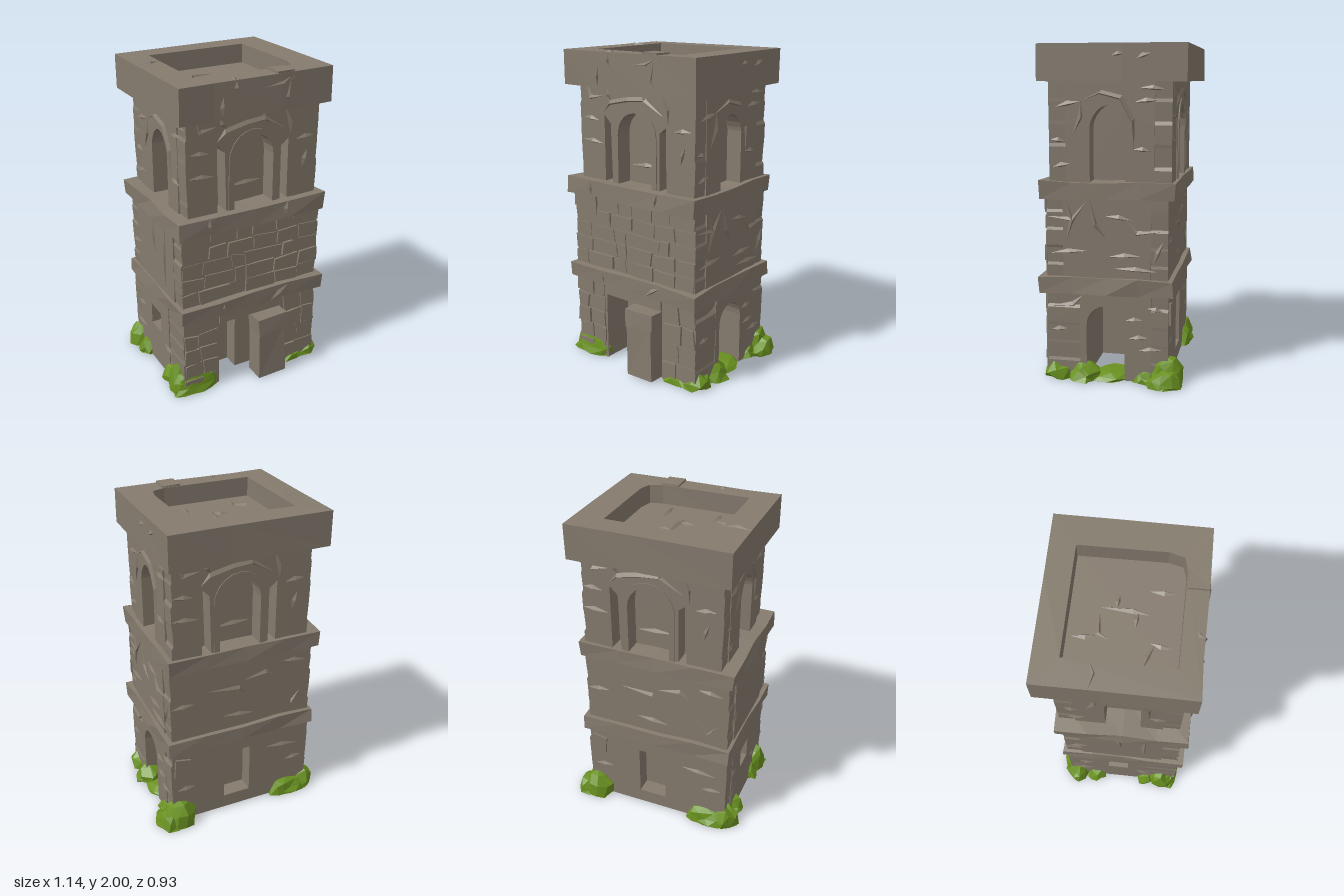
import * as THREE from 'three';

const stone = new THREE.MeshStandardMaterial({ color: 0x857b6e, flatShading: true });
stone.name = 'stone';
const moss = new THREE.MeshStandardMaterial({ color: 0x6a9220, flatShading: true });
moss.name = 'moss';

let seed = 11;
const rnd = () => ((seed = (seed * 16807) % 2147483647) / 2147483647);
const hash = (x, y, z) => {
  const s = Math.sin(Math.round(x * 999) * 12.99 + Math.round(y * 999) * 78.23 + Math.round(z * 999) * 37.72) * 43758.55;
  return s - Math.floor(s) - 0.5;
};

const add = (parent, geo, mat, name) => {
  const m = new THREE.Mesh(geo, mat);
  m.name = name;
  parent.add(m);
  return m;
};

// Shift every vertex by an amount that depends only on its position, so seams stay closed
function roughen(geo, amt, flatten = false) {
  const p = geo.attributes.position;
  for (let i = 0; i < p.count; i++) {
    const [x, y, z] = [p.getX(i), p.getY(i), p.getZ(i)];
    const ny = y + hash(y, z, x) * amt;
    p.setXYZ(i, x + hash(x, y, z) * amt, flatten ? Math.max(ny, 0) : ny, z + hash(z, x, y) * amt);
  }
  geo.computeVertexNormals();
  return geo;
}

// Box given by its limits
function block(parent, name, [x0, x1], [y0, y1], [z0, z1], amt = 0, seg = 1) {
  const g = new THREE.BoxGeometry(x1 - x0, y1 - y0, z1 - z0, seg, 1, seg);
  g.translate((x0 + x1) / 2, (y0 + y1) / 2, (z0 + z1) / 2);
  return add(parent, roughen(g, amt), stone, name);
}

const toShape = pts => new THREE.Shape(pts.map(([x, y]) => new THREE.Vector2(x, y)));
const rect = (u0, u1, y0, y1) => [[u0, y0], [u1, y0], [u1, y1], [u0, y1]];

// Arched opening; a power above 1 makes the head pointed
function arch(u0, u1, y0, spring, top, power = 1) {
  const pts = [[u0, y0], [u1, y0]], c = (u0 + u1) / 2, r = (u1 - u0) / 2;
  for (let i = 0; i <= 10; i++) {
    const a = (i / 10) * Math.PI;
    pts.push([c + r * Math.cos(a), spring + (top - spring) * Math.sin(a) ** power]);
  }
  return pts;
}

function plate(face, name, pts, holes, z, depth) {
  const s = toShape(pts);
  s.holes = holes.map(toShape);
  const g = new THREE.ExtrudeGeometry(s, { depth, bevelEnabled: false });
  g.translate(0, 0, z);
  return add(face, g, stone, name);
}

// Wall outline with chipped vertical edges and an optional doorway cut into the foot
function chippedOutline(u0, u1, y0, y1, door, chip) {
  const n = 5, pts = [[u0, y0]];
  if (door) pts.push(door[0], ...door.slice(1).reverse());
  const side = (u, sign, i) => {
    const d = rnd() * chip * sign, y = y0 + ((y1 - y0) * i) / n, h = (y1 - y0) / n;
    return [[u - d, y + h * 0.08], [u - d * 0.5, y + h * 0.92]];
  };
  pts.push([u1, y0]);
  for (let i = 0; i < n; i++) pts.push(...side(u1, 1, i));
  for (let i = n - 1; i >= 0; i--) pts.push(...side(u0, -1, i).reverse());
  return pts;
}

// Four walls with recessed openings around a solid core; returns the faces for extra detail
function storey(root, name, [x0, x1], [y0, y1], [z0, z1], openings, frontDepth = 0.1, rightDepth = 0.1) {
  const g = new THREE.Group(), d = 0.1;
  g.name = name;
  root.add(g);
  block(g, 'core', [x0 + d, x1 - rightDepth], [y0, y1], [z0 + d, z1 - frontDepth]);
  const specs = {
    front: [0, x0, x1, z1, frontDepth], right: [Math.PI / 2, frontDepth - z1, -z0 - d, x1, rightDepth],
    back: [Math.PI, -x1, -x0, -z0, d], left: [-Math.PI / 2, z0 + d, z1 - frontDepth, -x0, d],
  };
  const faces = {};
  for (const [key, [angle, u0, u1, dist, depth]] of Object.entries(specs)) {
    const f = new THREE.Group();
    f.name = key + ' face';
    f.rotation.y = angle;
    f.userData.dist = dist;
    g.add(f);
    faces[key] = f;
    const chip = key === 'front' || key === 'back' ? 0.014 : 0;
    const o = openings[key] || {};
    plate(f, key + ' wall', chippedOutline(u0, u1, y0, y1, o.door, chip), o.holes || [], dist - depth, depth);
  }
  return faces;
}

// Irregular facing stones standing proud of the wall
function masonry(f, u0, u1, y0, y1, rows, cols) {
  const z = f.userData.dist, h = (y1 - y0) / rows, j = () => 0.001 + rnd() ** 3 * 0.016;
  for (let r = 0; r < rows; r++) {
    const cuts = [u0];
    for (let c = 1; c < cols; c++) cuts.push(u0 + ((u1 - u0) * (c + (rnd() - 0.5) * 0.7)) / cols);
    cuts.push(u1);
    for (let c = 0; c < cols; c++) {
      const [a, b, lo, hi] = [cuts[c], cuts[c + 1], y0 + r * h, y0 + r * h + h];
      const pts = [[a + j(), lo + j()], [b - j(), lo + j()], [b - j(), hi - j()], [a + j(), hi - j()]];
      plate(f, 'facing stone', pts, [], z - 0.002, 0.005 + rnd() * 0.014);
    }
  }
}

// Chipped lips: each line is a crest that rises gently on one side and drops steeply on the other
function cracks(f, lines, z = f.userData.dist) {
  for (let line of lines) {
    const last = line[line.length - 1];
    if (line.length === 2) line = [line[0], [(line[0][0] + last[0]) / 2, (line[0][1] + last[1]) / 2], last];
    let [dx, dy] = [last[0] - line[0][0], last[1] - line[0][1]];
    if (dx + dy < 0) [line, dx, dy] = [[...line].reverse(), -dx, -dy];
    const len = Math.hypot(dx, dy), nx = dy / len, ny = -dx / len;
    const rows = line.map(([u, y], i) => {
      const k = i === 0 || i === line.length - 1 ? 0.1 : 1;
      return [[-0.022, 0], [0, 0.013], [0.008, 0]].map(([o, h]) => [u + nx * o * k, y + ny * o * k, z + h * k]);
    });
    const v = [];
    for (let i = 0; i + 1 < rows.length; i++) {
      for (let s = 0; s < 2; s++) {
        const [a, b, c, d] = [rows[i][s], rows[i][s + 1], rows[i + 1][s + 1], rows[i + 1][s]];
        v.push(...a, ...b, ...c, ...a, ...c, ...d);
      }
    }
    const g = new THREE.BufferGeometry();
    g.setAttribute('position', new THREE.Float32BufferAttribute(v, 3));
    g.computeVertexNormals();
    add(f, g, stone, 'chipped crack');
  }
}

// Raised band following an arch
function hood(f, u0, u1, y0, spring, top, w) {
  const outer = arch(u0 - w, u1 + w, y0, spring, top + w), inner = arch(u0, u1, y0, spring, top);
  plate(f, 'arch surround', [...outer.slice(1), outer[0], inner[0], ...inner.slice(1).reverse()], [], f.userData.dist - 0.01, 0.016);
}

export function createModel() {
  const root = new THREE.Group();
  root.name = 'ruined stone tower';

  // Ground storey, with deep doorways at the front and right
  const foot = 0.008;
  const base = storey(root, 'ground storey', [-0.5, 0.46], [foot, 0.56], [-0.37, 0.36], {
    front: { door: rect(-0.25, 0.2, foot, 0.45) },
    right: { door: arch(-0.12, 0.11, foot, 0.34, 0.46) },
    back: { holes: [rect(-0.1, 0.08, 0.1, 0.44)] },
    left: { holes: [rect(-0.1, 0.04, 0.28, 0.42)] },
  }, 0.2, 0.44);
  masonry(base.front, -0.5, -0.26, 0.01, 0.53, 5, 2);
  masonry(base.front, 0.21, 0.46, 0.01, 0.53, 4, 2);
  plate(base.front, 'lintel', rect(-0.25, 0.2, 0.455, 0.525), [], 0.358, 0.012);
  block(root, 'door jamb', [-0.08, 0.2], [foot, 0.45], [0.16, 0.26]);
  plate(base.back, 'chipped stone', [[-0.44, 0.36], [-0.34, 0.35], [-0.33, 0.47], [-0.43, 0.49]], [], 0.368, 0.016);
  cracks(base.right, [[[0.12, 0.38], [0.22, 0.385]], [[0.14, 0.27], [0.25, 0.28]], [[0.2, 0.2], [0.33, 0.21]],
    [[-0.32, 0.45], [-0.2, 0.46], [-0.14, 0.52]], [[-0.33, 0.3], [-0.24, 0.31]], [[0.25, 0.46], [0.34, 0.44]]]);
  cracks(base.back, [[[0.2, 0.4], [0.42, 0.38]], [[0.34, 0.26], [0.46, 0.27]], [[-0.42, 0.24], [-0.3, 0.25]]]);
  cracks(base.left, [[[-0.3, 0.35], [-0.2, 0.36]], [[0.1, 0.22], [0.2, 0.2]], [[-0.34, 0.2], [-0.2, 0.19]]]);

  // Leaning slab in the doorway
  block(root, 'leaning slab', [-0.01, 0.185], [foot, 0.36], [0.33, 0.45], 0.016);
  block(root, 'slab head', [-0.02, 0.2], [0.34, 0.44], [0.32, 0.46], 0.025);

  // Middle storey
  const mid = storey(root, 'middle storey', [-0.5, 0.455], [0.6, 1.13], [-0.365, 0.36], {});
  masonry(mid.front, -0.5, 0.455, 0.63, 1.1, 5, 6);
  cracks(mid.right, [[[-0.35, 0.99], [-0.2, 0.97], [-0.12, 1.08]], [[-0.24, 1.09], [-0.2, 0.97], [-0.24, 0.85]],
    [[-0.1, 1.1], [-0.06, 0.95], [0.0, 0.87]], [[0, 1.0], [0.15, 0.98]], [[0.12, 0.98], [0.18, 0.9], [0.33, 0.92]],
    [[-0.33, 0.77], [-0.12, 0.79]], [[0.02, 0.76], [0.2, 0.77]], [[0.28, 0.72], [0.34, 0.86]], [[0.05, 0.69], [0.3, 0.68]]]);
  cracks(mid.back, [[[-0.2, 0.92], [0, 0.9], [0.04, 0.86]], [[0.04, 0.95], [0.18, 0.97], [0.24, 0.93]],
    [[0.3, 0.8], [0.36, 0.7], [0.42, 0.78]], [[-0.44, 0.85], [-0.3, 0.86]], [[-0.1, 0.72], [0.1, 0.7]], [[0.3, 1.02], [0.45, 1.0]]]);
  cracks(mid.left, [[[0.14, 0.66], [0.15, 1.08]], [[-0.02, 1.08], [0, 0.85]], [[-0.34, 0.8], [-0.22, 0.82]]]);

  // Upper storey with arched windows and slots
  const bay = { holes: [arch(-0.14, 0.12, 1.17, 1.5, 1.64), [[-0.25, 1.17], [-0.19, 1.17], [-0.2, 1.56], [-0.25, 1.61]],
    [[0.175, 1.17], [0.225, 1.17], [0.225, 1.58], [0.175, 1.54]]] };
  const slit = { holes: [arch(-0.1, 0.11, 1.17, 1.52, 1.64, 1.4)] };
  const top = storey(root, 'upper storey', [-0.45, 0.435], [1.15, 1.8], [-0.38, 0.345],
    { front: bay, back: bay, right: slit, left: slit });
  for (const f of [top.front, top.back]) {
    hood(f, -0.14, 0.12, 1.18, 1.5, 1.64, 0.035);
    cracks(f, [[[-0.25, 1.63], [-0.2, 1.68], [-0.06, 1.71], [0.06, 1.72], [0.2, 1.64]], [[0.2, 1.77], [0.24, 1.68], [0.24, 1.6]],
      [[-0.43, 1.44], [-0.27, 1.43]], [[-0.42, 1.58], [-0.3, 1.57]], [[-0.38, 1.77], [-0.36, 1.7], [-0.26, 1.72]],
      [[-0.23, 1.77], [-0.19, 1.7]], [[0.28, 1.56], [0.4, 1.57]], [[0.33, 1.38], [0.36, 1.48]], [[0.05, 1.76], [0.08, 1.7]]]);
    cracks(f, [[[-0.12, 1.3], [0.1, 1.31]]], f.userData.dist - 0.1);
  }
  for (const f of [top.right, top.left]) {
    cracks(f, [[[-0.16, 1.66], [-0.04, 1.71], [0.08, 1.68], [0.15, 1.55], [0.16, 1.39]], [[0.16, 1.39], [0.26, 1.38]],
      [[-0.2, 1.47], [-0.15, 1.57], [-0.15, 1.66]], [[-0.3, 1.63], [-0.16, 1.66]], [[-0.33, 1.44], [-0.25, 1.43]],
      [[0.17, 1.66], [0.3, 1.67]], [[0.2, 1.74], [0.34, 1.73]], [[-0.32, 1.28], [-0.22, 1.3]]]);
  }

  // String courses between the storeys
  block(root, 'lower ledge', [-0.515, 0.475], [0.535, 0.63], [-0.395, 0.405], 0.016, 4);
  block(root, 'upper ledge', [-0.525, 0.465], [1.1, 1.2], [-0.4, 0.405], 0.016, 4);
  const band = new THREE.Group();
  band.name = 'ledge cracks';
  root.add(band);
  cracks(band, [[[-0.24, 0.63], [-0.23, 0.54]], [[0.1, 0.54], [0.22, 0.62]], [[-0.33, 1.2], [-0.32, 1.11]], [[0.18, 1.11], [0.2, 1.2]]], 0.404);

  // Crown: a thick parapet ring around a sunken roof
  const crown = new THREE.Group();
  crown.name = 'crown';
  root.add(crown);
  const ring = toShape([[-0.51, -0.41], [-0.3, -0.405], [0.12, -0.41], [0.475, -0.405], [0.475, 0.1], [0.47, 0.468], [0.1, 0.468], [-0.508, 0.468], [-0.508, 0.1]]);
  ring.holes = [toShape([[-0.35, -0.285], [0.2, -0.285], [0.28, -0.265], [0.3, -0.18], [0.295, 0.32], [-0.35, 0.32]])];
  const ringGeo = new THREE.ExtrudeGeometry(ring, { depth: 0.21, bevelEnabled: false });
  ringGeo.rotateX(-Math.PI / 2).translate(0, 1.777, 0);
  add(crown, roughen(ringGeo, 0.004), stone, 'parapet');
  block(crown, 'sunken roof', [-0.4, 0.38], [1.78, 1.87], [-0.37, 0.33]);
  block(crown, 'raised coping stone', [0.1, 0.21], [1.95, 1.998], [0.29, 0.407], 0.006);
  const roof = new THREE.Group();
  roof.name = 'roof cracks';
  roof.rotation.x = -Math.PI / 2;
  crown.add(roof);
  cracks(roof, [[[-0.18, 0.29], [-0.165, 0.15]], [[-0.18, 0.1], [-0.15, 0.15], [-0.01, 0.16]], [[0, 0.15], [0.0, -0.02], [-0.02, -0.1]],
    [[0, 0.07], [0.08, 0.06]], [[-0.1, -0.04], [-0.01, -0.05]], [[-0.34, -0.09], [-0.19, -0.15]], [[-0.18, -0.13], [-0.2, -0.24]], [[0.12, -0.1], [0.12, -0.25]]], 1.87);
  cracks(roof, [[[-0.5, 0.16], [-0.42, 0.14], [-0.35, 0.17]], [[-0.17, -0.4], [-0.14, -0.36]]], 1.986);
  const crownFront = new THREE.Group();
  crownFront.name = 'crown front cracks';
  crown.add(crownFront);
  cracks(crownFront, [[[-0.24, 1.9], [-0.245, 1.79]], [[-0.16, 1.98], [-0.15, 1.91]], [[0, 1.92], [0.13, 1.93], [0.2, 1.97]], [[0.19, 1.97], [0.17, 1.85], [0.2, 1.79]]], 0.405);
  const crownRight = new THREE.Group();
  crownRight.name = 'crown side cracks';
  crownRight.rotation.y = Math.PI / 2;
  crown.add(crownRight);
  cracks(crownRight, [[[0.04, 1.92], [0.11, 1.93]], [[0.18, 1.9], [0.26, 1.93]]], 0.472);

  // Moss clumps: x, z, half-width, height, half-depth
  const clumps = [[-0.49, 0.28, 0.07, 0.19, 0.09], [-0.4, 0.34, 0.16, 0.13, 0.055], [-0.48, 0.17, 0.07, 0.11, 0.07],
    [-0.48, -0.33, 0.09, 0.14, 0.08], [-0.49, -0.19, 0.07, 0.1, 0.07], [-0.37, -0.37, 0.14, 0.11, 0.06],
    [0.41, -0.36, 0.11, 0.17, 0.1], [0.48, -0.35, 0.09, 0.1, 0.1], [0.42, -0.23, 0.08, 0.09, 0.08],
    [0.43, 0.14, 0.1, 0.12, 0.1], [0.4, 0.29, 0.1, 0.11, 0.1], [0.3, 0.33, 0.12, 0.06, 0.06], [0.36, -0.02, 0.13, 0.05, 0.14]];
  clumps.forEach(([x, z, w, h, d], i) => {
    const g = new THREE.IcosahedronGeometry(1, 1);
    g.rotateY(i * 1.3);
    roughen(g, 0.35, true);
    g.scale(w, h, d);
    add(root, g, moss, 'moss clump').position.set(x, 0, z);
  });
  return root;
}
